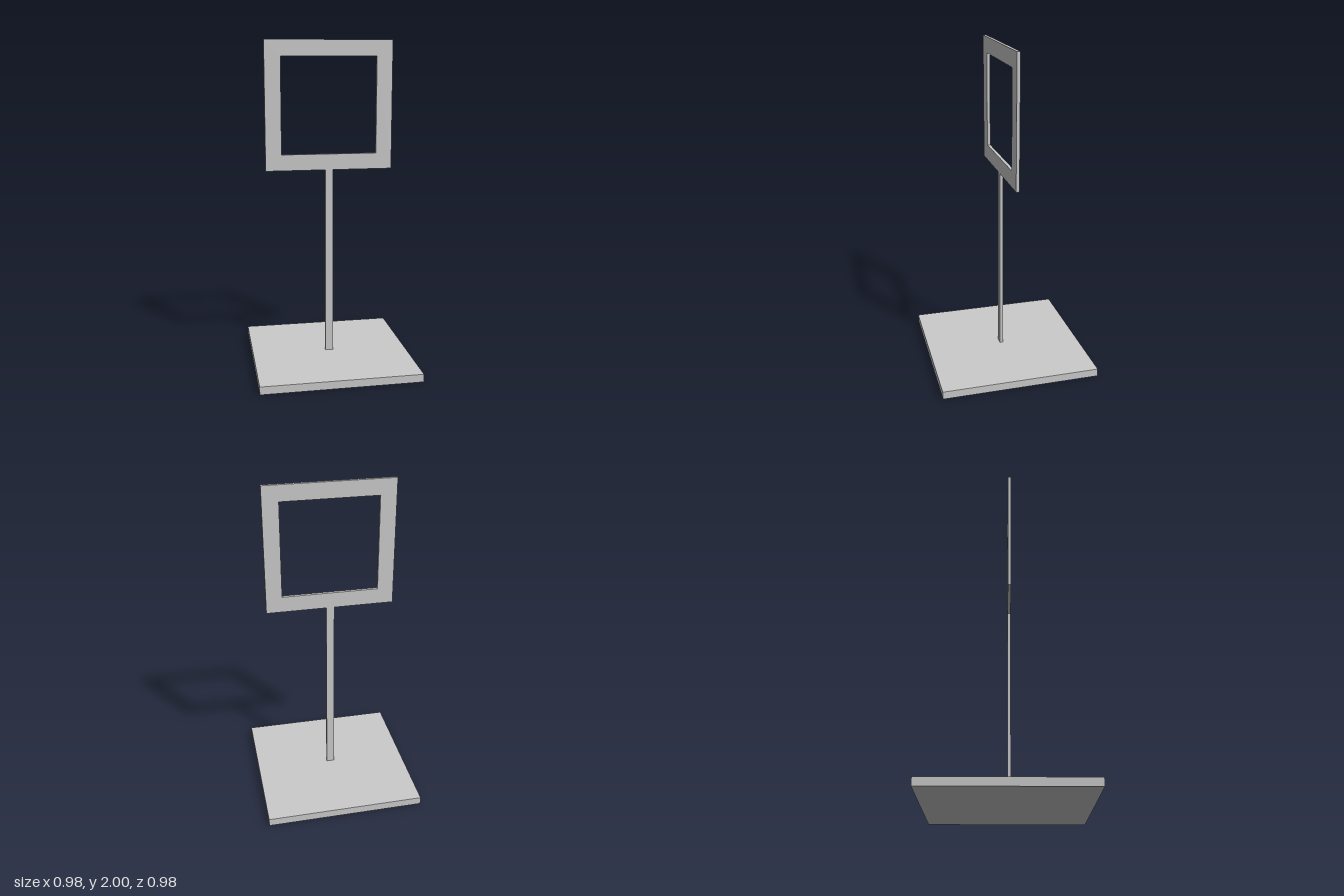
import * as THREE from 'three';

const U = 2 / 41; // module unit: the stand is 41 units tall
const DEPTH = 0.4 * U; // thickness of post and frame

export function createModel() {
  const group = new THREE.Group();
  const material = new THREE.MeshStandardMaterial({ color: 0xcccccc, flatShading: true });

  const add = (name, geometry, y, z) => {
    const mesh = new THREE.Mesh(geometry, material);
    mesh.name = name;
    mesh.position.set(0, y, z);
    group.add(mesh);
  };

  // square outline, counter-clockwise, centred on the origin
  const square = (path, h) =>
    path.moveTo(-h, -h).lineTo(h, -h).lineTo(h, h).lineTo(-h, h).closePath();

  // square foot plate
  add('base', new THREE.BoxGeometry(20 * U, U, 20 * U), U / 2, 0);

  // flat upright, its back face on the centre plane
  add('post', new THREE.BoxGeometry(U, 24 * U, DEPTH), 13 * U, DEPTH / 2);

  // square sign frame with an open window
  const outline = square(new THREE.Shape(), 8 * U);
  outline.holes.push(square(new THREE.Path(), 6 * U));
  add('signFrame', new THREE.ExtrudeGeometry(outline, { depth: DEPTH, bevelEnabled: false }), 33 * U, 0);

  return group;
}
